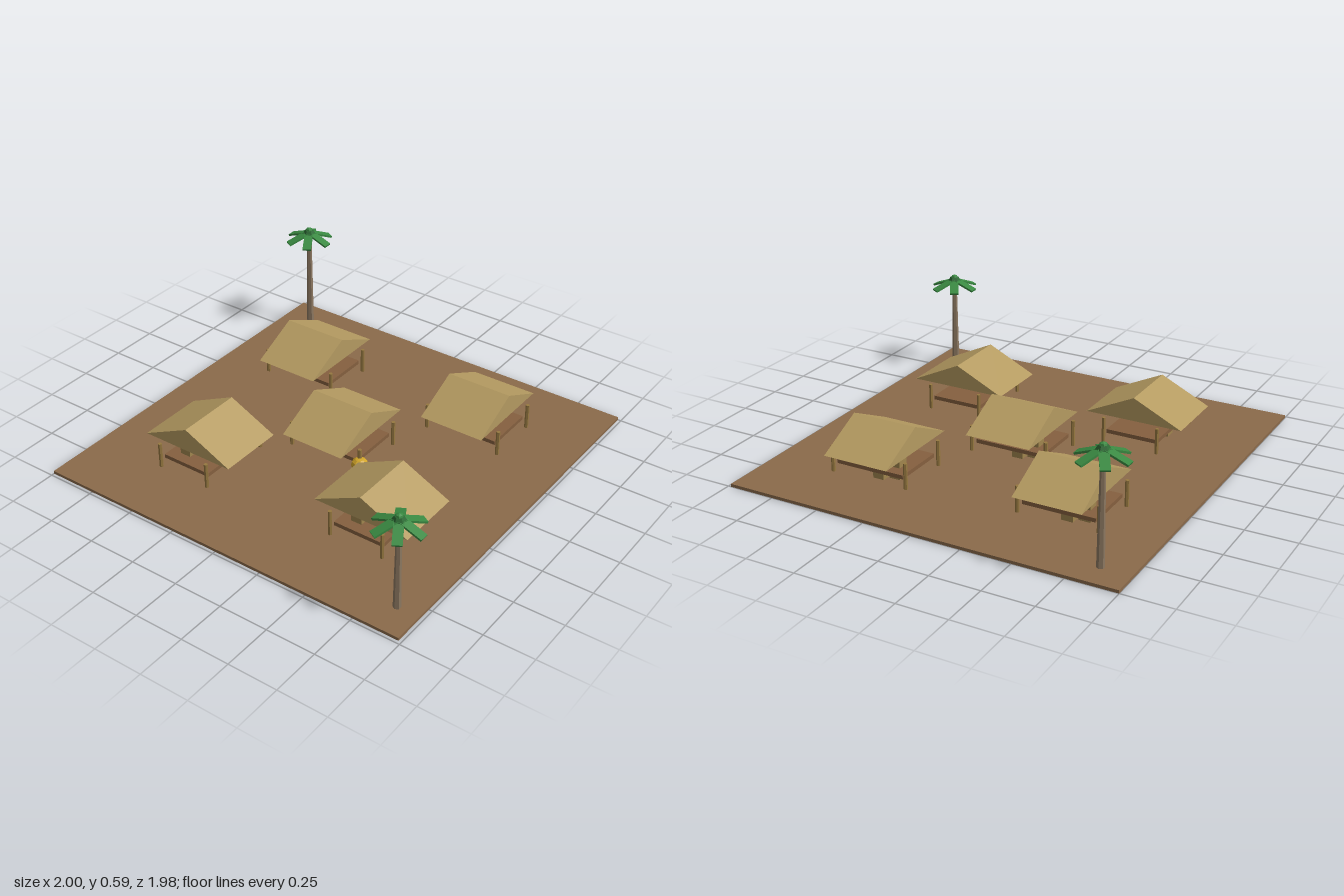
import * as THREE from 'three';

const mat = (name, color) => {
  const m = new THREE.MeshStandardMaterial({ color, flatShading: true });
  m.name = name;
  return m;
};

export function createModel() {
  const earth = mat('earth', 0x8b6a4a);
  const thatch = mat('thatch', 0xb59b61);
  const postWood = mat('postWood', 0x967840);
  const counterWood = mat('counterWood', 0x85603f);
  const crateWood = mat('crateWood', 0xa1864e);
  const bark = mat('bark', 0x8b7760);
  const leaf = mat('leaf', 0x3a8a42);
  const darkLeaf = mat('darkLeaf', 0x2d6b35);
  const gold = mat('gold', 0xd0a428);

  const add = (parent, name, geometry, material, x, y, z) => {
    const m = new THREE.Mesh(geometry, material);
    m.name = name;
    m.position.set(x, y, z);
    parent.add(m);
    return m;
  };
  const model = new THREE.Group();
  model.name = 'marketSquare';

  add(model, 'ground', new THREE.BoxGeometry(1.984, 0.015, 1.984), earth, -0.008, 0.0075, -0.008);

  // Gable roof prism with its ridge along x
  const roofShape = new THREE.Shape([
    new THREE.Vector2(-0.252, 0.145), new THREE.Vector2(0.252, 0.145), new THREE.Vector2(0, 0.265),
  ]);
  const roofGeo = new THREE.ExtrudeGeometry(roofShape, { depth: 0.342, bevelEnabled: false });
  roofGeo.translate(0, 0, -0.171).rotateY(Math.PI / 2);
  const postGeo = new THREE.CylinderGeometry(0.01, 0.01, 0.144, 6);
  const counterGeo = new THREE.BoxGeometry(0.364, 0.02, 0.27);
  const crateGeo = new THREE.BoxGeometry(0.058, 0.054, 0.058);

  // Market stall: roof, four posts, counter and crates
  const stall = (x, z, turn) => {
    const g = new THREE.Group();
    g.name = 'stall';
    g.position.set(x, 0, z);
    g.rotation.y = turn;
    add(g, 'roof', roofGeo, thatch, 0, 0, 0);
    for (const sx of [-1, 1]) for (const sz of [-1, 1]) {
      add(g, 'post', postGeo, postWood, sx * 0.202, 0.074, sz * 0.142);
    }
    add(g, 'counter', counterGeo, counterWood, 0, 0.066, 0);
    add(g, 'counterCrate', crateGeo, crateWood, -0.1, 0.095, -0.05);
    for (const [cx, cz] of [[-0.1, -0.05], [-0.032, -0.085], [0.032, -0.01]]) {
      add(g, 'groundCrate', crateGeo, crateWood, cx, 0.029, cz);
    }
    model.add(g);
  };
  stall(-0.01, -0.004, 0);
  stall(-0.514, -0.462, 0);
  stall(0.447, -0.513, 0);
  stall(-0.466, 0.45, Math.PI / 2);
  stall(0.496, 0.397, Math.PI / 2);

  // Golden pot beside the middle stall
  const pot = add(model, 'goldenPot', new THREE.SphereGeometry(0.042, 8, 6), gold, 0.195, 0.067, 0.143);
  pot.scale.y = 0.8;

  // Palm: tapered trunk, six drooping fronds and a crown
  const frondGeo = new THREE.BoxGeometry(0.13, 0.01, 0.045);
  frondGeo.translate(0.065, 0, 0);
  const palm = (x, z, h) => {
    const g = new THREE.Group();
    g.name = 'palm';
    g.position.set(x, 0, z);
    add(g, 'trunk', new THREE.CylinderGeometry(0.012, 0.019, h, 6), bark, 0, h / 2, 0);
    for (let i = 0; i < 6; i++) {
      const f = add(g, 'frond', frondGeo, leaf, 0, h + 0.015, 0);
      f.rotation.set(0, i * Math.PI / 3, -0.36, 'YXZ');
    }
    add(g, 'crown', new THREE.CylinderGeometry(0.022, 0.04, 0.03, 6), darkLeaf, 0, h + 0.013, 0);
    add(g, 'crownTip', new THREE.SphereGeometry(0.022, 6, 4), leaf, 0, h + 0.02, 0);
    model.add(g);
  };
  palm(-0.852, -0.868, 0.548);
  palm(0.872, 0.828, 0.475);

  return model;
}
